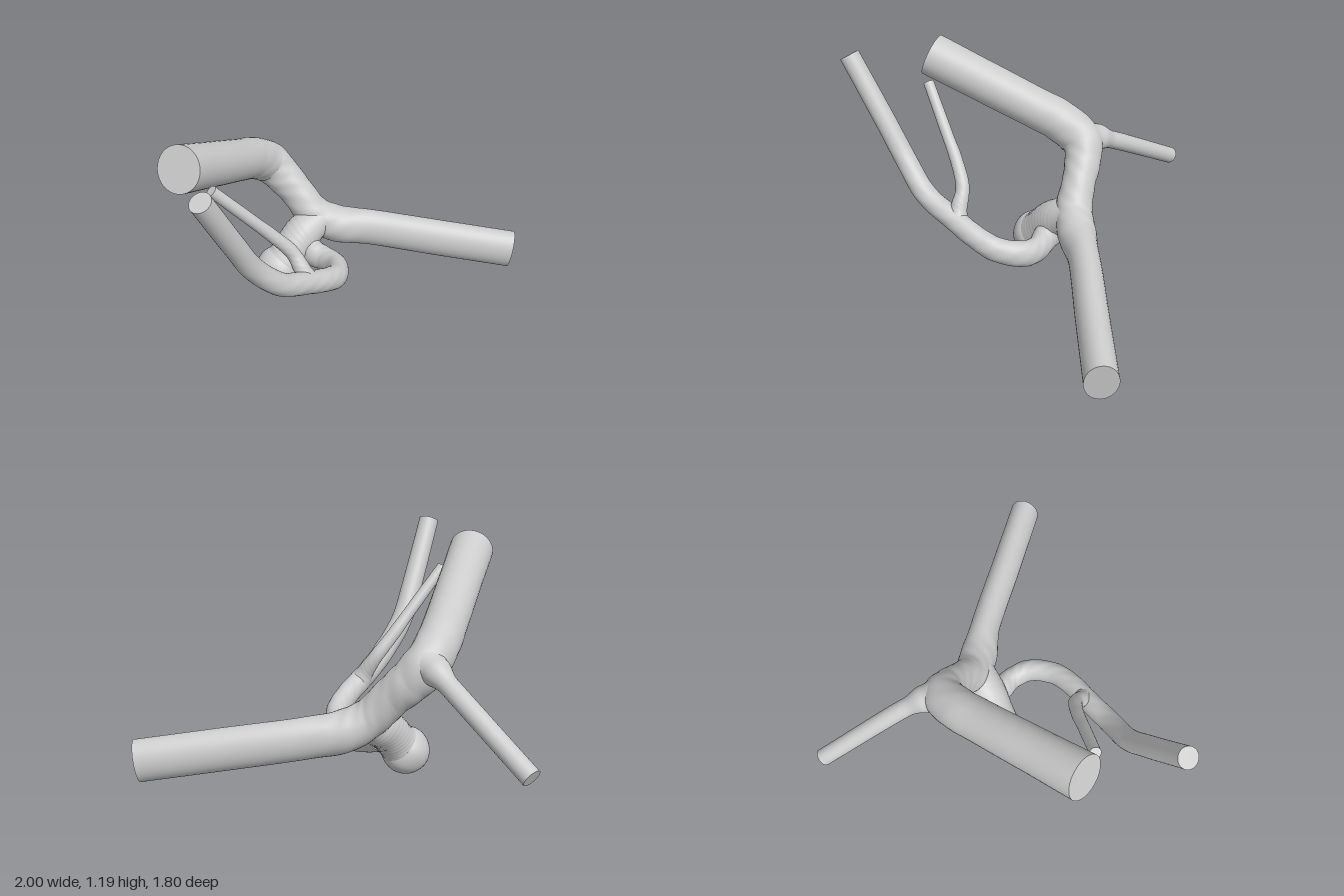
import * as THREE from 'three';

const material = new THREE.MeshStandardMaterial({ color: 0xcccccc, side: THREE.DoubleSide });
const SIDES = 32;

// Sweeps an ellipse along stations [x, y, z, vertical radius, horizontal radius, lump size]
function vessel(name, stations, steps, capStart, capEnd) {
  const curve = new THREE.CatmullRomCurve3(
    stations.map(([x, y, z]) => new THREE.Vector3(x, y, z)), false, 'centripetal');
  const up = new THREE.Vector3(0, 1, 0);
  const positions = [], index = [];
  const last = stations.length - 1;
  const value = (i, k) => stations[i][k] ?? (k === 4 ? stations[i][3] : 0);

  for (let s = 0; s <= steps; s++) {
    const t = s / steps;
    const i = Math.min(last - 1, Math.floor(t * last));
    const f = THREE.MathUtils.smoothstep(t * last - i, 0, 1);
    const [rv, rh, lump] = [3, 4, 5].map(k => THREE.MathUtils.lerp(value(i, k), value(i + 1, k), f));
    const centre = curve.getPoint(t), tangent = curve.getTangent(t);
    const side = new THREE.Vector3().crossVectors(up, tangent).normalize();
    const rise = new THREE.Vector3().crossVectors(tangent, side);
    for (let j = 0; j < SIDES; j++) {
      const a = j / SIDES * Math.PI * 2;
      const n = 1 + lump * Math.sin(3 * a + 40 * t) * Math.sin(55 * t + 2 * a);
      const p = centre.clone()
        .addScaledVector(side, Math.cos(a) * rh * n)
        .addScaledVector(rise, Math.sin(a) * rv * n);
      positions.push(p.x, p.y, p.z);
      if (s < steps) {
        const k = (j + 1) % SIDES, r = s * SIDES, q = r + SIDES;
        index.push(r + j, r + k, q + j, r + k, q + k, q + j);
      }
    }
  }

  // Flat cut ends with their own vertices, so the rim stays sharp
  const cap = (s, centre, flip) => {
    const first = positions.length / 3;
    positions.push(...positions.slice(s * SIDES * 3, (s + 1) * SIDES * 3));
    positions.push(centre.x, centre.y, centre.z);
    for (let j = 0; j < SIDES; j++) {
      const a = first + j, b = first + (j + 1) % SIDES;
      index.push(first + SIDES, flip ? b : a, flip ? a : b);
    }
  };
  if (capStart) cap(0, curve.getPoint(0), true);
  if (capEnd) cap(steps, curve.getPoint(1), false);

  const geometry = new THREE.BufferGeometry();
  geometry.setAttribute('position', new THREE.Float32BufferAttribute(positions, 3));
  geometry.setIndex(index);
  geometry.computeVertexNormals();
  const mesh = new THREE.Mesh(geometry, material);
  mesh.name = name;
  return mesh;
}

// Gently lumpy closed sac
function sac(name, x, y, z, radius) {
  const geometry = new THREE.SphereGeometry(radius, 40, 28);
  const p = geometry.attributes.position, v = new THREE.Vector3();
  for (let i = 0; i < p.count; i++) {
    v.fromBufferAttribute(p, i);
    const k = 1 + 0.025 * Math.sin(v.x * 30 + 1) * Math.sin(v.y * 34) * Math.cos(v.z * 28);
    p.setXYZ(i, v.x * k, v.y * k, v.z * k);
  }
  geometry.computeVertexNormals();
  const mesh = new THREE.Mesh(geometry, material);
  mesh.name = name;
  mesh.position.set(x, y, z);
  return mesh;
}

export function createModel() {
  const model = new THREE.Group();
  model.name = 'branchingVessel';

  // Wide vessel: front inlet, bend, trunk and long side outlet
  model.add(vessel('mainVessel', [
    [-0.485, 1.075, 0.48, 0.122, 0.12],
    [-0.47, 0.955, 0.175, 0.119, 0.115],
    [-0.455, 0.835, -0.13, 0.116, 0.112],
    [-0.445, 0.775, -0.28, 0.118, 0.112, 0.01],
    [-0.405, 0.69, -0.41, 0.12, 0.11, 0.02],
    [-0.33, 0.605, -0.435, 0.108, 0.1, 0.02],
    [-0.245, 0.52, -0.435, 0.1, 0.092, 0.02],
    [-0.14, 0.405, -0.435, 0.1, 0.1, 0.02],
    [-0.02, 0.335, -0.475, 0.11, 0.105, 0.02],
    [0.18, 0.303, -0.555, 0.11, 0.083, 0.005],
    [0.575, 0.25, -0.672, 0.112, 0.084],
    [0.97, 0.198, -0.79, 0.112, 0.084],
  ], 150, true, true));

  // Thin straight branch leaving the bend, flared at its root
  model.add(vessel('backBranch', [
    [-0.42, 0.7, -0.43, 0.105],
    [-0.47, 0.69, -0.485, 0.075],
    [-0.55, 0.645, -0.555, 0.05],
    [-0.97, 0.372, -0.862, 0.048],
  ], 40, false, true));

  // Neck and rounded sac hanging under the junction
  model.add(vessel('sacNeck', [
    [-0.09, 0.38, -0.44, 0.09],
    [-0.165, 0.315, -0.335, 0.108, 0.108, 0.02],
    [-0.215, 0.22, -0.25, 0.106, 0.106, 0.02],
    [-0.26, 0.135, -0.195, 0.115],
  ], 40, false, false));
  model.add(sac('sac', -0.267, 0.132, -0.192, 0.127));

  // Curled artery sweeping round to the front
  model.add(vessel('curledArtery', [
    [-0.17, 0.28, -0.35, 0.09],
    [-0.09, 0.225, -0.29, 0.08, 0.07, 0.02],
    [0.0, 0.21, -0.27, 0.075, 0.06, 0.03],
    [0.09, 0.22, -0.21, 0.075, 0.06, 0.02],
    [0.14, 0.255, -0.07, 0.07, 0.06, 0.02],
    [0.12, 0.305, 0.06, 0.066, 0.06, 0.02],
    [0.07, 0.36, 0.19, 0.064, 0.06, 0.02],
    [0.0, 0.45, 0.37, 0.062, 0.06, 0.02],
    [-0.085, 0.62, 0.52, 0.06, 0.059, 0.01],
    [-0.12, 0.8, 0.63, 0.058],
    [-0.175, 1.155, 0.845, 0.056],
  ], 120, false, true));

  // Slender twig from the curled artery
  model.add(vessel('slenderBranch', [
    [0.075, 0.35, 0.17, 0.06],
    [0.035, 0.425, 0.17, 0.045, 0.045, 0.02],
    [-0.02, 0.51, 0.165, 0.038, 0.038, 0.02],
    [-0.105, 0.63, 0.225, 0.035, 0.035, 0.01],
    [-0.18, 0.745, 0.3, 0.032],
    [-0.33, 0.972, 0.45, 0.03],
  ], 60, false, true));

  return model;
}
